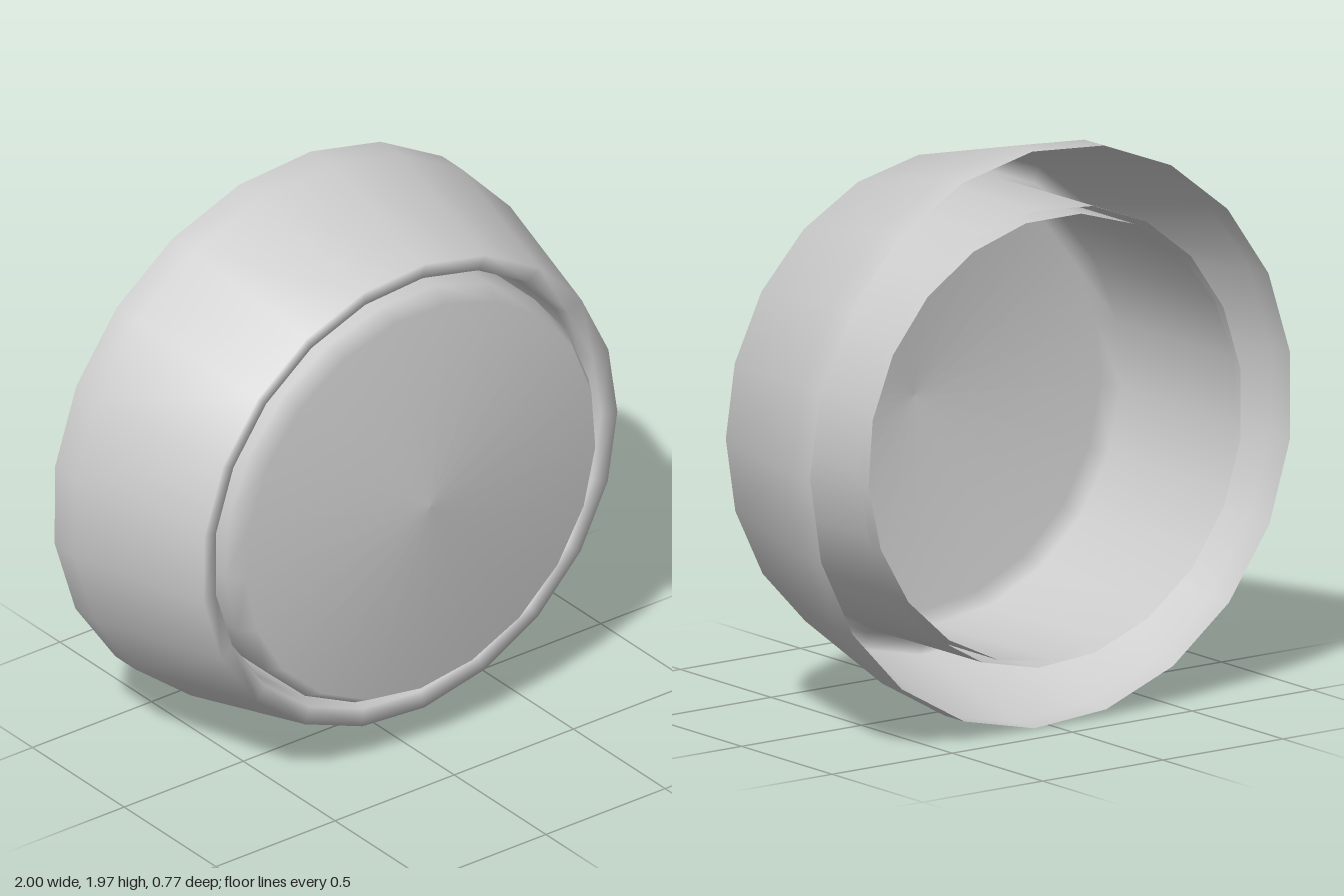
import * as THREE from 'three';

const SIDES = 21;

// Turns a [radius, depth] profile round the z axis, slightly squashed in height.
function turned(name, profile, phase, squash, material) {
  const points = profile.map(([r, z]) => new THREE.Vector2(r, z));
  const geometry = new THREE.LatheGeometry(points, SIDES, phase, Math.PI * 2);
  geometry.rotateX(Math.PI / 2);
  geometry.scale(1, squash, 1);
  const mesh = new THREE.Mesh(geometry, material);
  mesh.name = name;
  return mesh;
}

export function createModel() {
  const group = new THREE.Group();
  group.name = 'buttonWithBezel';
  const grey = new THREE.MeshStandardMaterial({ color: 0xcccccc, side: THREE.DoubleSide });
  grey.name = 'light grey';

  // Hollow bezel: outer skirt, tapered wall, rolled lip and inner sleeve
  const bezel = turned('bezel', [
    [1.0056, -0.378], [1.0056, -0.27], [0.872, 0.264],
    [0.812, 0.252], [0.797, 0.2], [0.797, -0.378],
  ], Math.PI / 2, 0.982, grey);
  bezel.position.set(-0.0056, 0.987, 0);
  bezel.rotation.x = 0.006;
  group.add(bezel);

  // Cap: open-backed cup with bevelled rim and shallow conical face
  const cap = turned('cap', [
    [0.773, -0.384], [0.773, 0.265], [0.735, 0.33], [0, 0.385],
  ], 0, 0.983, grey);
  cap.position.set(-0.01, 0.985, 0);
  group.add(cap);

  return group;
}
